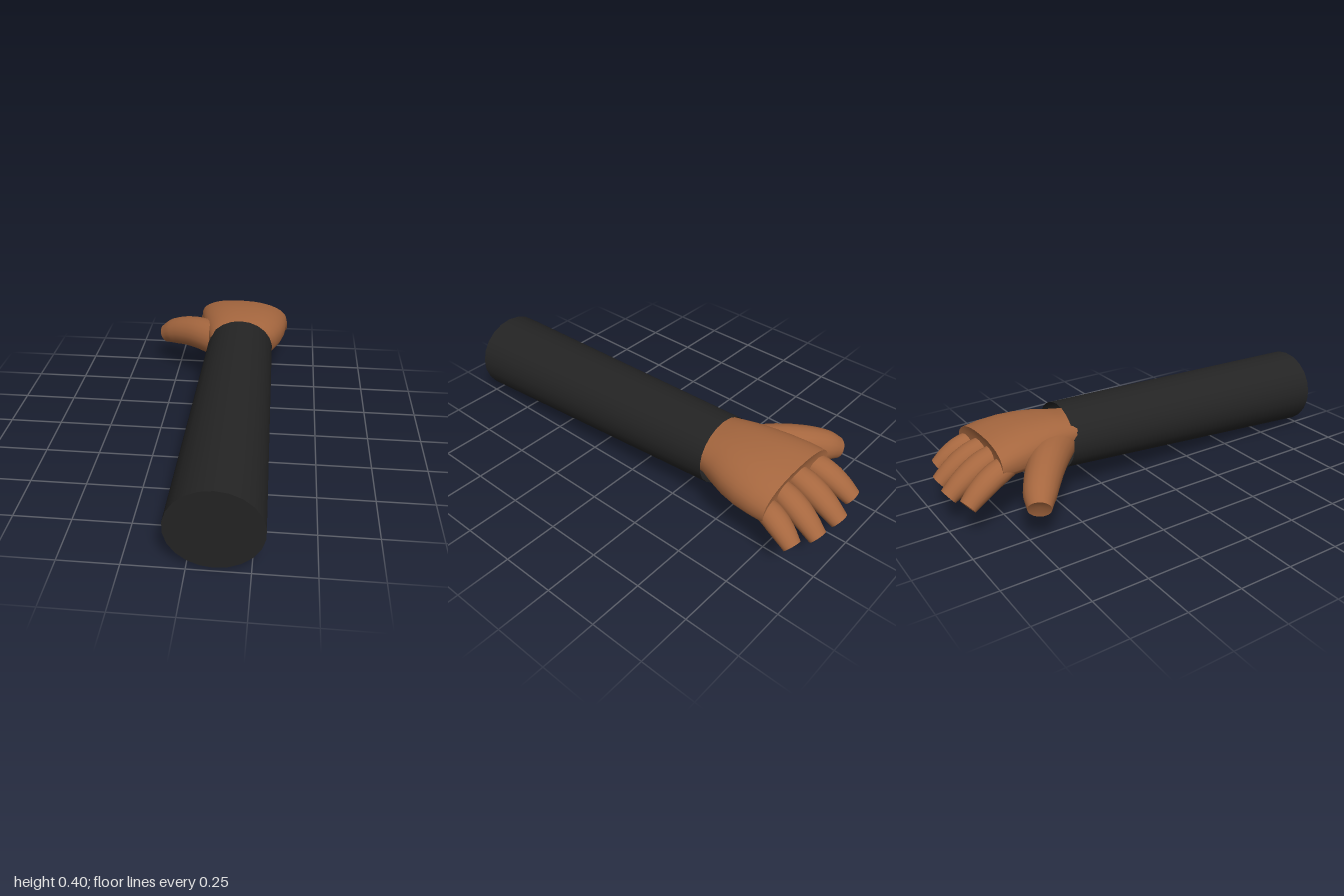
import * as THREE from 'three';

const V = (x, y, z) => new THREE.Vector3(x, y, z);

// Skin a list of rings (equal point counts); caps get their own vertices for a crisp edge.
// dish moves the end cap's centre along its direction of travel.
function loft(rings, { capStart = false, capEnd = false, dish = V(0, 0, 0) } = {}) {
  const pos = [], idx = [], n = rings[0].length;
  rings.forEach(r => r.forEach(p => pos.push(p.x, p.y, p.z)));
  for (let i = 0; i < rings.length - 1; i++) {
    for (let j = 0; j < n; j++) {
      const a = i * n + j, b = i * n + (j + 1) % n;
      idx.push(a, b, a + n, b, b + n, a + n);
    }
  }
  const cap = (ring, flip) => {
    const base = pos.length / 3;
    const c = ring.reduce((s, p) => s.add(p), V(0, 0, 0)).divideScalar(n);
    if (!flip) c.add(dish);
    [c, ...ring].forEach(p => pos.push(p.x, p.y, p.z));
    for (let j = 0; j < n; j++) {
      const a = base + 1 + j, b = base + 1 + (j + 1) % n;
      if (flip) idx.push(base, b, a);
      else idx.push(base, a, b);
    }
  };
  if (capStart) cap(rings[0], true);
  if (capEnd) cap(rings[rings.length - 1], false);
  const g = new THREE.BufferGeometry();
  g.setAttribute('position', new THREE.Float32BufferAttribute(pos, 3));
  g.setIndex(idx);
  g.computeVertexNormals();
  return g;
}

// Elliptical ring square to direction t.
function ring(c, t, rx, ry, sides) {
  const u = t.clone().cross(V(0, 1, 0)).normalize();
  const v = t.clone().cross(u).normalize();
  return Array.from({ length: sides }, (_, j) => {
    const a = (j / sides) * Math.PI * 2 + Math.PI / 2;
    return c.clone().addScaledVector(u, rx * Math.cos(a)).addScaledVector(v, ry * Math.sin(a));
  });
}

// Digit: a curved tube with changing radius and a blunt, slightly hollow tip.
function digit(points, radii, flat = 0.9) {
  const curve = new THREE.CatmullRomCurve3(points);
  const steps = 14, rings = [];
  for (let i = 0; i <= steps; i++) {
    const s = i / steps, f = s * (radii.length - 1);
    const k = Math.min(Math.floor(f), radii.length - 2);
    const r = THREE.MathUtils.lerp(radii[k], radii[k + 1], f - k);
    rings.push(ring(curve.getPoint(s), curve.getTangent(s), r, r * flat, 20));
  }
  return loft(rings, { capEnd: true, dish: curve.getTangent(1).multiplyScalar(-0.012) });
}

// Palm: arched back, flatter underside hollowed toward the knuckles.
function palm() {
  // z, left x, right x, top, bottom, side height, hollow
  const sections = [
    [-0.34, -0.04, 0.25, 0.355, 0.20, 0.28, 0],
    [-0.42, -0.055, 0.26, 0.37, 0.19, 0.28, 0],
    [-0.48, -0.07, 0.285, 0.38, 0.18, 0.28, 0],
    [-0.56, -0.09, 0.313, 0.385, 0.175, 0.275, 0.005],
    [-0.64, -0.108, 0.33, 0.385, 0.175, 0.27, 0.015],
    [-0.72, -0.122, 0.337, 0.377, 0.178, 0.268, 0.025],
    [-0.79, -0.13, 0.338, 0.362, 0.185, 0.265, 0.03],
  ];
  const n = 40;
  const rings = sections.map(([z, x0, x1, top, bottom, side, hollow]) =>
    Array.from({ length: n }, (_, j) => {
      const a = (j / n) * Math.PI * 2, s = -Math.sin(a), c = Math.cos(a);
      const e = s > 0 ? 0.9 : 0.75;
      const x = (x0 + x1) / 2 + ((x1 - x0) / 2) * Math.sign(c) * Math.abs(c) ** 0.85;
      const h = Math.abs(s) ** e;
      let y = s > 0 ? side + (top - side) * h : side - (side - bottom) * h;
      if (s < 0) y += hollow * s * s;
      return V(x, y - 0.012 * c, z);
    }));
  return loft(rings, { capStart: true, capEnd: true, dish: V(0, 0, 0.03) });
}

export function createModel() {
  const skin = new THREE.MeshStandardMaterial({ color: 0xa6673f });
  skin.name = 'skin';
  const cloth = new THREE.MeshStandardMaterial({ color: 0x242424, side: THREE.DoubleSide });
  cloth.name = 'black cloth';

  const model = new THREE.Group();
  model.name = 'arm';
  const add = (name, geometry, material, parent) => {
    const m = new THREE.Mesh(geometry, material);
    m.name = name;
    parent.add(m);
  };

  // Tapered sleeve, closed at the elbow and open at the wrist
  const elbow = V(0.107, 0.184, 0.991), cuff = V(0.105, 0.255, -0.417);
  const axis = cuff.clone().sub(elbow).normalize();
  add('sleeve', loft([
    ring(elbow, axis, 0.195, 0.184, 22),
    ring(cuff, axis, 0.165, 0.15, 22),
  ], { capStart: true }), cloth, model);

  const hand = new THREE.Group();
  hand.name = 'hand';
  model.add(hand);
  add('palm', palm(), skin, hand);

  // Fingers: base x, tip x, tip y, tip z, base y, size
  const fingers = [
    ['indexFinger', -0.066, -0.104, 0.152, -0.945, 0.265, 1],
    ['middleFinger', 0.048, 0.04, 0.140, -0.972, 0.272, 1.02],
    ['ringFinger', 0.163, 0.18, 0.142, -0.957, 0.268, 0.98],
    ['littleFinger', 0.272, 0.303, 0.158, -0.915, 0.25, 0.95],
  ];
  for (const [name, bx, tx, ty, tz, by, k] of fingers) {
    const at = (s, lift) => V(
      THREE.MathUtils.lerp(bx, tx, s),
      THREE.MathUtils.lerp(by, ty, s) + lift,
      THREE.MathUtils.lerp(-0.74, tz, s));
    add(name, digit(
      [at(0, 0), at(0.35, 0.016), at(0.7, 0.014), at(1, 0)],
      [0.052, 0.058, 0.057, 0.051, 0.042].map(r => r * k)), skin, hand);
  }

  // Thumb, spreading out to the side
  add('thumb', digit(
    [V(0.02, 0.255, -0.46), V(-0.1, 0.253, -0.57), V(-0.2, 0.232, -0.65),
      V(-0.27, 0.205, -0.7), V(-0.325, 0.175, -0.732)],
    [0.085, 0.085, 0.078, 0.07, 0.05], 1), skin, hand);

  return model;
}
